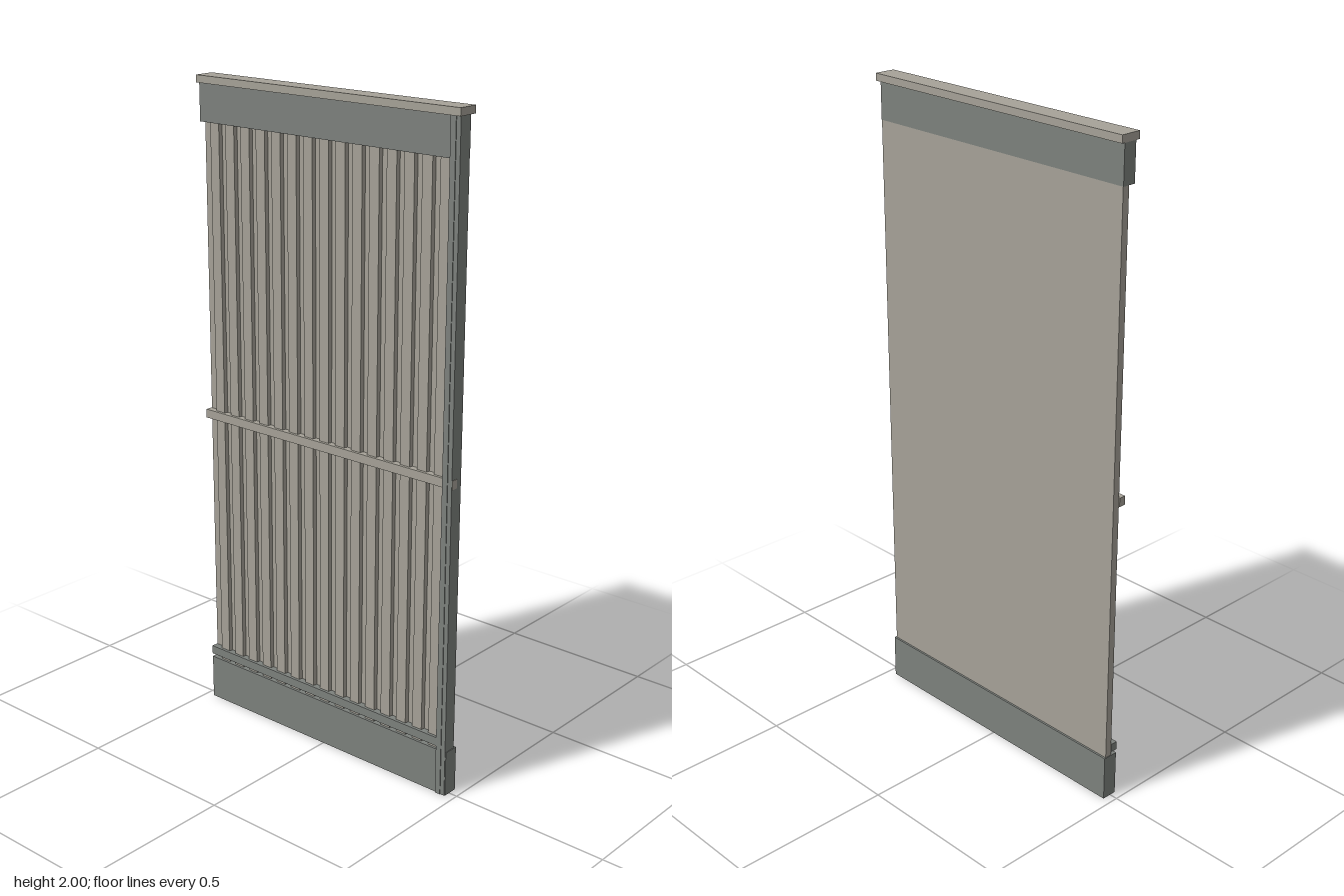
import * as THREE from 'three';

export function createModel() {
  const group = new THREE.Group();
  const paleGrey = new THREE.MeshStandardMaterial({ color: 0xa6a298 });
  paleGrey.name = 'paleWarmGrey';
  const darkGrey = new THREE.MeshStandardMaterial({ color: 0x7d817d });
  darkGrey.name = 'darkGrey';

  // Box given by its limits on each axis
  const box = (name, material, [x0, x1], [y0, y1], [z0, z1]) => {
    const mesh = new THREE.Mesh(new THREE.BoxGeometry(x1 - x0, y1 - y0, z1 - z0), material);
    mesh.position.set((x0 + x1) / 2, (y0 + y1) / 2, (z0 + z1) / 2);
    mesh.name = name;
    group.add(mesh);
  };

  // Ribbed cladding: flat back, raised boards in front, extruded upward
  const back = -0.022, groove = 0.0, ridge = 0.012;
  const left = -0.472, right = 0.468, pitch = 0.06;
  const profile = new THREE.Shape();
  profile.moveTo(left, -back);
  profile.lineTo(left, -groove);
  for (let i = 0; i < 15; i++) {
    const x = -0.442 + i * pitch;
    profile.lineTo(x, -groove);
    profile.lineTo(x + 0.002, -ridge);
    profile.lineTo(x + 0.036, -ridge);
    profile.lineTo(x + 0.038, -groove);
  }
  profile.lineTo(right, -groove);
  profile.lineTo(right, -back);
  const bottom = 0.1, top = 1.9;
  const boards = new THREE.ExtrudeGeometry(profile, { depth: top - bottom, bevelEnabled: false });
  boards.rotateX(-Math.PI / 2);
  boards.translate(0, bottom, 0);
  const cladding = new THREE.Mesh(boards, paleGrey);
  cladding.name = 'ribbedCladding';
  group.add(cladding);

  // Horizontal members
  box('capRail', paleGrey, [-0.475, 0.475], [1.978, 2], [-0.034, 0.031]);
  box('topRail', darkGrey, [-0.474, 0.468], [1.865, 1.978], [-0.023, 0.019]);
  box('middleRail', paleGrey, [-0.475, 0.4715], [0.957, 0.984], [0, 0.021]);
  box('lowerRail', darkGrey, [-0.474, 0.46], [0.152, 0.179], [0, 0.021]);
  box('baseBoard', darkGrey, [-0.474, 0.472], [0, 0.141], [-0.028, 0.02]);

  // Stepped post on one end
  box('postInner', darkGrey, [0.438, 0.456], [0, 1.978], [-0.015, 0.024]);
  box('postOuter', darkGrey, [0.456, 0.47], [0, 1.978], [-0.018, 0.022]);

  return group;
}
